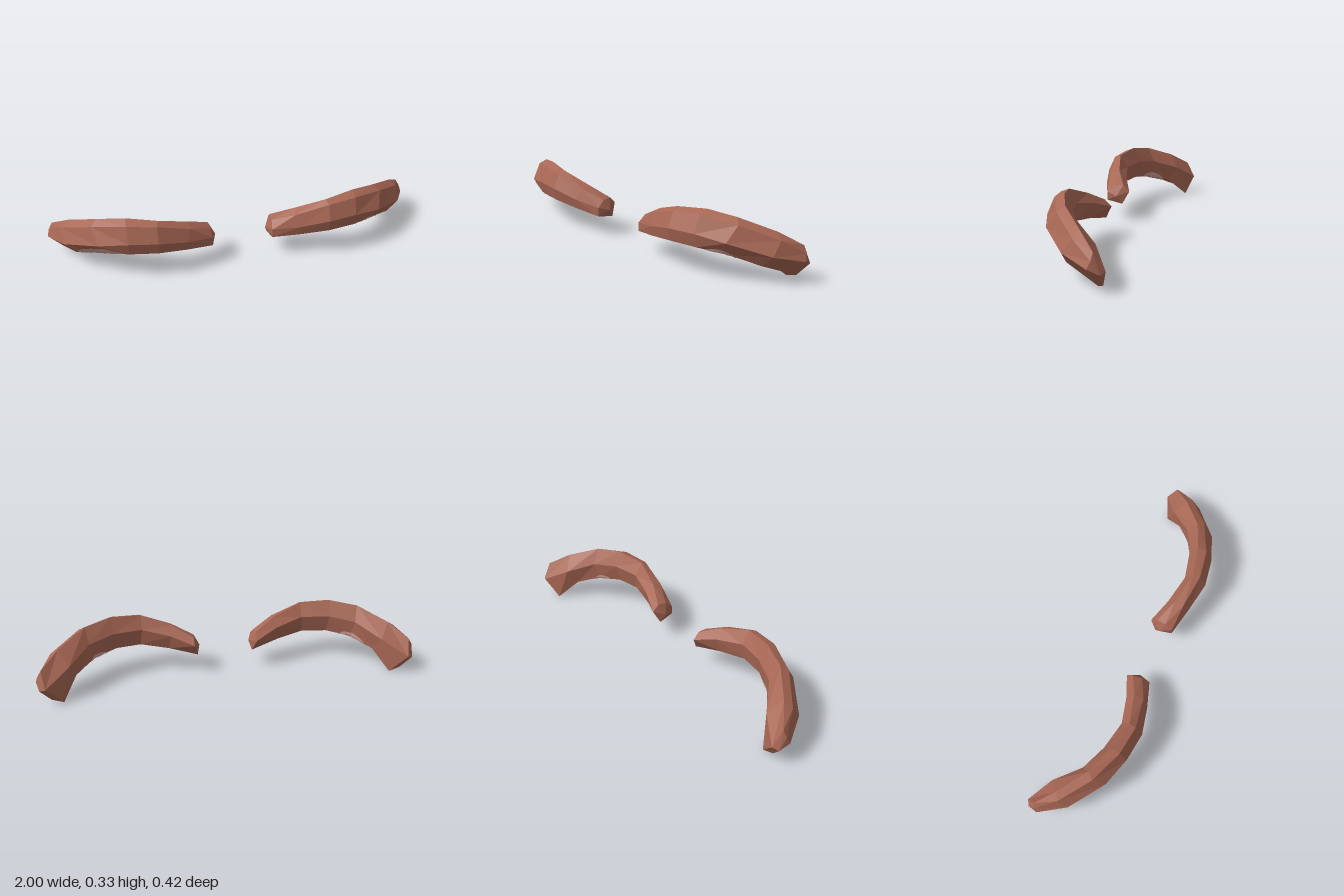
import * as THREE from 'three';

// Long edges of one brow, from its inner end to its outer end, in order around the section.
const RAILS = [
  // top ridge
  [[0.17, 0.2, 0.04], [0.28, 0.257, 0.095], [0.44, 0.313, 0.135], [0.6, 0.33, 0.1], [0.74, 0.31, 0.045], [0.88, 0.25, -0.07], [0.97, 0.185, -0.16]],
  // upper front
  [[0.165, 0.195, 0.09], [0.28, 0.245, 0.145], [0.45, 0.3, 0.172], [0.6, 0.31, 0.15], [0.77, 0.285, 0.075], [0.92, 0.22, -0.05], [0.99, 0.15, -0.155]],
  // front
  [[0.16, 0.16, 0.13], [0.3, 0.185, 0.175], [0.45, 0.22, 0.208], [0.6, 0.225, 0.187], [0.75, 0.205, 0.135], [0.92, 0.15, 0], [1, 0.115, -0.14]],
  // lower front
  [[0.16, 0.112, 0.13], [0.3, 0.132, 0.165], [0.45, 0.155, 0.195], [0.6, 0.155, 0.17], [0.73, 0.138, 0.1], [0.86, 0.09, 0], [0.93, 0.022, -0.17]],
  // lower back
  [[0.15, 0.097, 0.04], [0.3, 0.132, 0.075], [0.45, 0.155, 0.105], [0.58, 0.157, 0.08], [0.7, 0.143, 0.015], [0.8, 0.1, -0.075], [0.87, 0.003, -0.172]],
  // back
  [[0.17, 0.165, 0.005], [0.29, 0.21, 0.055], [0.44, 0.245, 0.092], [0.59, 0.25, 0.06], [0.72, 0.23, 0], [0.83, 0.175, -0.125], [0.955, 0.1, -0.21]],
].map((rail) => rail.map((p) => new THREE.Vector3(...p)));

const SIDES = RAILS.length;
const STATIONS = RAILS[0].length;

// Point on the brow: s runs along it, u runs around it.
function surfacePoint(s, u) {
  const i = Math.min(Math.floor(s), STATIONS - 2);
  const j = Math.floor(u) % SIDES;
  const k = (j + 1) % SIDES;
  const a = RAILS[j][i].clone().lerp(RAILS[j][i + 1], s - i);
  const b = RAILS[k][i].clone().lerp(RAILS[k][i + 1], s - i);
  return a.lerp(b, u - Math.floor(u));
}

function centrePoint(s) {
  const c = new THREE.Vector3();
  for (let u = 0; u < SIDES; u++) c.add(surfacePoint(s, u));
  return c.divideScalar(SIDES);
}

// Flat triangles, mirrored across x with their corners reversed when side is -1.
function triangleMesh(name, triangles, side, material) {
  const points = triangles.flatMap(([a, b, c]) => (side > 0 ? [a, b, c] : [a, c, b]));
  const geometry = new THREE.BufferGeometry().setFromPoints(
    points.map((p) => new THREE.Vector3(p.x * side, p.y, p.z)));
  geometry.computeVertexNormals();
  const mesh = new THREE.Mesh(geometry, material);
  mesh.name = name;
  return mesh;
}

function browTriangles() {
  const tris = [];
  const last = STATIONS - 1;
  const innerTip = new THREE.Vector3(0.136, 0.142, 0.07);
  const outerTip = new THREE.Vector3(0.985, 0.09, -0.195);
  for (let u = 0; u < SIDES; u++) {
    const v = (u + 1) % SIDES;
    for (let s = 0; s < last; s++) {
      const a = RAILS[u][s], b = RAILS[v][s], c = RAILS[u][s + 1], d = RAILS[v][s + 1];
      tris.push([a, b, c], [b, d, c]);
    }
    tris.push([innerTip, RAILS[v][0], RAILS[u][0]]);
    tris.push([outerTip, RAILS[u][last], RAILS[v][last]]);
  }
  return tris;
}

// Thin oval skin lying just above the brow's surface.
function patchTriangles(s0, u0, rs, ru) {
  const rings = 6, steps = 28;
  const at = (r, k) => {
    const angle = (k / steps) * Math.PI * 2;
    const s = s0 + (r / rings) * rs * Math.cos(angle);
    const p = surfacePoint(s, u0 + (r / rings) * ru * Math.sin(angle));
    const out = p.clone().sub(centrePoint(s)).normalize();
    return p.addScaledVector(out, 0.004);
  };
  const tris = [];
  for (let r = 0; r < rings; r++) {
    for (let k = 0; k < steps; k++) {
      const a = at(r, k), b = at(r, k + 1), c = at(r + 1, k), d = at(r + 1, k + 1);
      if (r > 0) tris.push([a, b, c]);
      tris.push([b, d, c]);
    }
  }
  return tris;
}

export function createModel() {
  const brown = new THREE.MeshStandardMaterial({ color: 0xa86754 });
  brown.name = 'reddish brown';
  const pale = new THREE.MeshStandardMaterial({ color: 0xd2a196 });
  pale.name = 'pale pink';
  pale.side = THREE.DoubleSide;

  const model = new THREE.Group();
  model.name = 'eyebrows';

  // Pale patches per side: centre along, centre around, half length, half width.
  const patches = {
    1: [[3.8, 3.45, 0.6, 0.8]],
    [-1]: [[4.05, 3.3, 0.95, 1.0], [1.4, 3.5, 0.35, 0.4]],
  };
  for (const side of [1, -1]) {
    const brow = new THREE.Group();
    brow.name = side > 0 ? 'leftEyebrow' : 'rightEyebrow';
    brow.add(triangleMesh('browBody', browTriangles(), side, brown));
    for (const p of patches[side]) {
      brow.add(triangleMesh('palePatch', patchTriangles(...p), side, pale));
    }
    model.add(brow);
  }
  return model;
}
